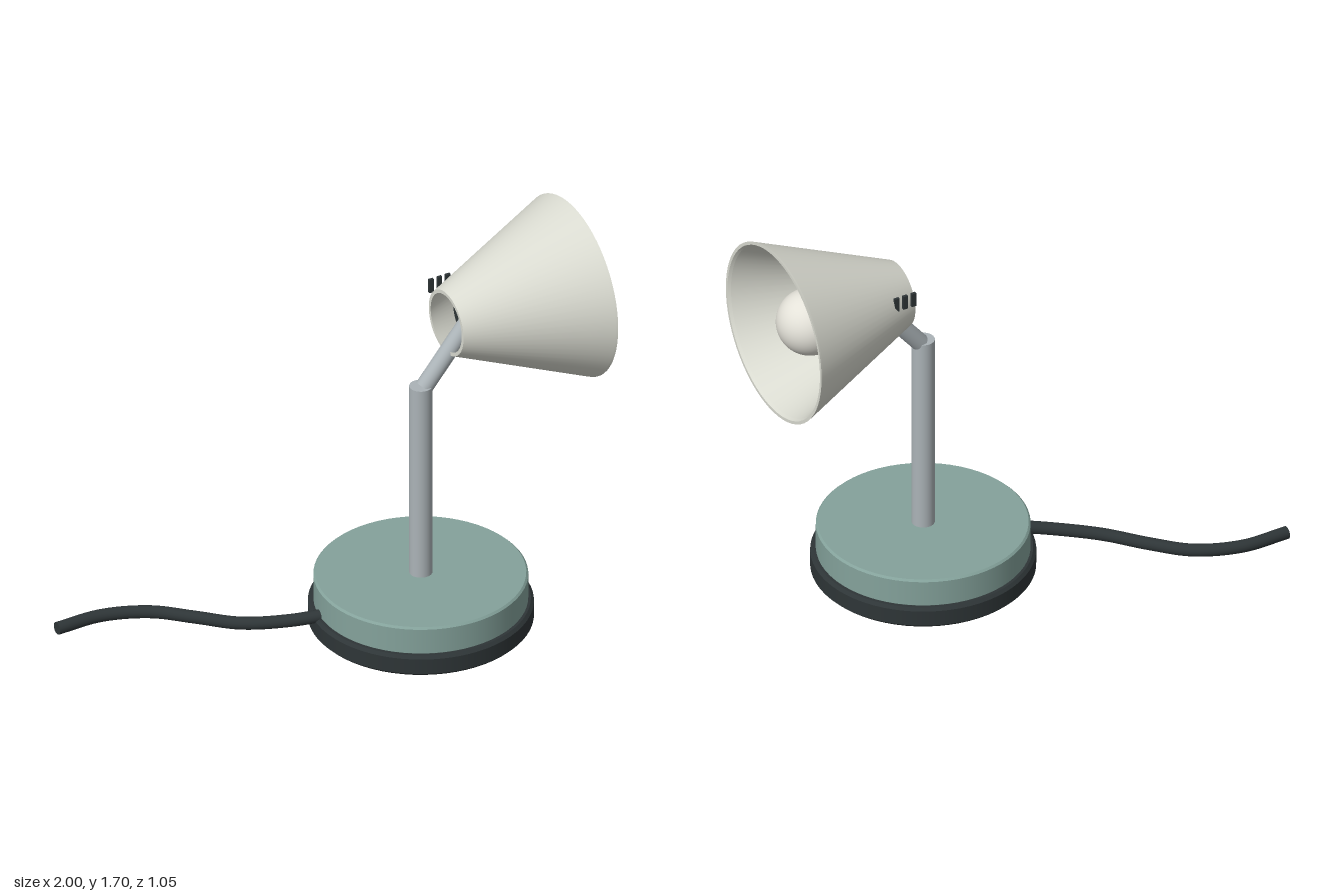
import * as THREE from 'three';

const CX = 0.32, CZ = 0.075, HEAD_Y = 1.325;
const mat = (color, side = THREE.FrontSide) => new THREE.MeshStandardMaterial({ color, side });
const V = (x, y, z) => new THREE.Vector3(x, y, z);

function add(parent, name, geometry, material, x = 0, y = 0, z = 0) {
  const mesh = new THREE.Mesh(geometry, material);
  mesh.name = name;
  mesh.position.set(x, y, z);
  parent.add(mesh);
  return mesh;
}

// Sharp-edged lathe: each profile segment gets its own smooth band.
function lathe(points, segments = 64) {
  const profile = [];
  points.forEach(([r, y], i) => {
    const p = new THREE.Vector2(r, y);
    profile.push(p);
    if (i > 0 && i < points.length - 1) profile.push(p.clone());
  });
  return new THREE.LatheGeometry(profile, segments);
}

// Disc with a small bevel around both edges, standing on y = 0.
const disc = (r, h, b) => lathe([[0, 0], [r - b, 0], [r, b], [r, h - b], [r - b, h], [0, h]]);

// Cylinder between two points.
function rod(parent, name, a, b, radius, material) {
  const dir = b.clone().sub(a);
  const mesh = add(parent, name, new THREE.CylinderGeometry(radius, radius, dir.length(), 32), material);
  mesh.position.copy(a).add(b).multiplyScalar(0.5);
  mesh.quaternion.setFromUnitVectors(V(0, 1, 0), dir.normalize());
  return mesh;
}

export function createModel() {
  const lamp = new THREE.Group();
  lamp.name = 'deskLamp';
  const rubber = mat(0x2e3537);
  const teal = mat(0x84a29b);
  const metal = mat(0xabb3b7);
  const enamel = mat(0xd9dad0, THREE.DoubleSide);
  const glass = mat(0xe4e2d9);

  // Base: rubber foot with the weighted body on top
  add(lamp, 'foot', disc(0.445, 0.09, 0.012), rubber, CX, 0, CZ);
  add(lamp, 'baseBody', disc(0.423, 0.125, 0.008), teal, CX, 0.085, CZ);

  // Stem and the tilted arm that reaches into the shade
  rod(lamp, 'stem', V(CX, 0.2, CZ), V(CX, 1.07, CZ), 0.046, metal);
  rod(lamp, 'arm', V(0.335, 1.06, CZ), V(0.55, 1.32, CZ), 0.036, metal);

  // Head: lathed around y, then laid along +x
  const head = new THREE.Group();
  head.name = 'head';
  head.position.set(0.435, HEAD_Y, CZ);
  head.rotation.z = -Math.PI / 2;
  lamp.add(head);
  add(head, 'shade', lathe([
    [0.122, 0], [0.137, 0], [0.372, 0.557], [0.375, 0.565],
    [0.362, 0.565], [0.355, 0.553], [0.122, 0],
  ]), enamel);
  add(head, 'socket', new THREE.CylinderGeometry(0.1, 0.1, 0.22, 40), rubber, 0, 0.2, 0);
  add(head, 'bulb', new THREE.SphereGeometry(0.135, 48, 32), glass, 0, 0.4, 0);

  // Vent slots on the back side of the shade
  for (const x of [0.462, 0.5, 0.538]) {
    add(lamp, 'ventSlot', new THREE.BoxGeometry(0.02, 0.06, 0.012), rubber, x, 1.4, -0.092);
  }

  // Power cord
  const cord = new THREE.CatmullRomCurve3([
    V(-1, 0.047, -0.5), V(-0.8, 0.047, -0.497), V(-0.62, 0.047, -0.425),
    V(-0.49, 0.049, -0.3), V(-0.36, 0.056, -0.16), V(-0.2, 0.075, -0.055), V(-0.04, 0.1, 0.02),
  ]);
  const cordGroup = new THREE.Group();
  cordGroup.name = 'cord';
  lamp.add(cordGroup);
  add(cordGroup, 'cable', new THREE.TubeGeometry(cord, 64, 0.026, 16), rubber);
  const cap = add(cordGroup, 'cableEnd', new THREE.CircleGeometry(0.026, 16), rubber, -1, 0.047, -0.5);
  cap.rotation.y = -Math.PI / 2;

  return lamp;
}
